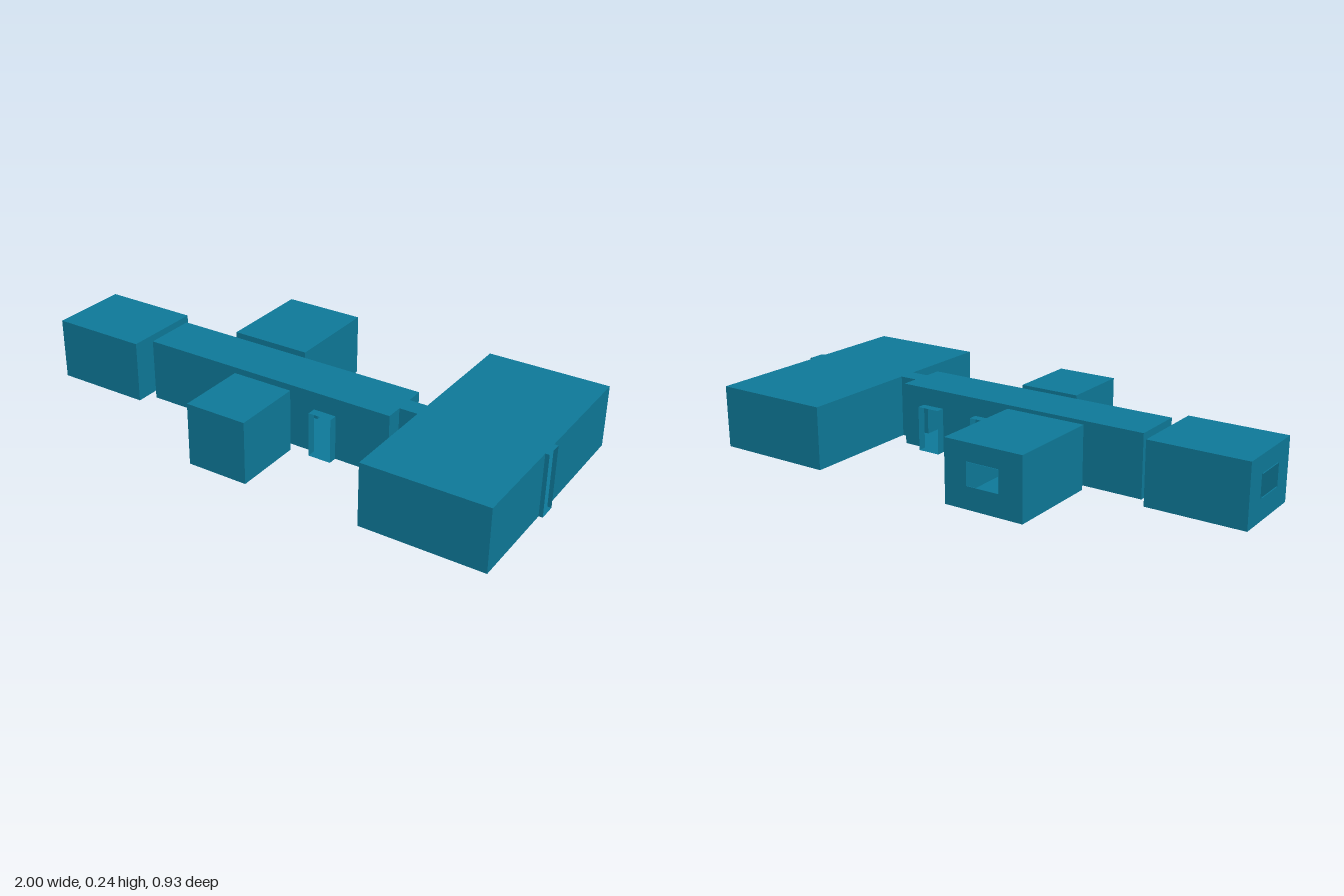
import * as THREE from 'three';
import { mergeGeometries } from 'three/addons/utils/BufferGeometryUtils.js';

const HEIGHT = 0.24, DOOR = 0.172, SILL = 0.086;
const material = new THREE.MeshStandardMaterial({ color: 0x0e7a9a, side: THREE.DoubleSide, flatShading: true });

// Flat panels: a and b are the two spans, at is the position on the fixed axis
function panel(axis, at, a0, a1, b0, b1) {
  const g = new THREE.PlaneGeometry(a1 - a0, b1 - b0);
  const a = (a0 + a1) / 2, b = (b0 + b1) / 2;
  if (axis === 'x') return g.rotateY(Math.PI / 2).translate(at, b, a); // spans z, y
  if (axis === 'z') return g.translate(a, b, at); // spans x, y
  return g.rotateX(-Math.PI / 2).translate(a, at, b); // spans x, z
}

function add(group, name, parts) {
  const mesh = new THREE.Mesh(mergeGeometries(parts), material);
  mesh.name = name;
  group.add(mesh);
}

// Wall left open at each [start, end, bottom, top]
function wall(axis, at, from, to, openings = []) {
  const parts = [];
  let u = from;
  for (const [a, b, bottom, top] of openings) {
    parts.push(panel(axis, at, u, a, 0, HEIGHT));
    if (bottom > 0) parts.push(panel(axis, at, a, b, 0, bottom));
    if (top < HEIGHT) parts.push(panel(axis, at, a, b, top, HEIGHT));
    u = b;
  }
  parts.push(panel(axis, at, u, to, 0, HEIGHT));
  return parts;
}

// Hollow room with floor, ceiling and four walls
function room(name, x0, x1, z0, z1, { left, right, front, back }) {
  const group = new THREE.Group();
  group.name = name;
  add(group, 'floor', [panel('y', 0, x0, x1, z0, z1)]);
  add(group, 'ceiling', [panel('y', HEIGHT, x0, x1, z0, z1)]);
  add(group, 'leftWall', wall('x', x1, z0, z1, left));
  add(group, 'rightWall', wall('x', x0, z0, z1, right));
  add(group, 'frontWall', wall('z', z1, x0, x1, front));
  add(group, 'backWall', wall('z', z0, x0, x1, back));
  return group;
}

// Open-ended sleeve through a wall opening, running along x or z from s to e
function sleeve(group, name, axis, s, e, [a, b, bottom, top]) {
  const side = axis === 'x' ? 'z' : 'x';
  const flat = (y) => axis === 'x' ? panel('y', y, s, e, a, b) : panel('y', y, a, b, s, e);
  add(group, name, [
    panel(side, a, s, e, bottom, top), panel(side, b, s, e, bottom, top), flat(bottom), flat(top),
  ]);
}

export function createModel() {
  const model = new THREE.Group();
  model.name = 'building';

  // Openings
  const tall = [0.016, 0.086, 0, HEIGHT];
  const endDoor = [0.004, 0.094, 0, DOOR];
  const backRoomDoor = [-0.213, -0.123, 0, DOOR];
  const frontRoomDoor = [-0.095, -0.005, 0, DOOR];
  const backDoors = [[0.028, 0.118, 0, DOOR], [0.268, 0.358, 0, DOOR]];
  const frontDoor = [0.146, 0.236, 0, DOOR];
  const endWindow = [-0.014, 0.114, SILL, DOOR];
  const backWindow = [-0.274, -0.144, SILL, DOOR];

  // Rooms
  model.add(
    room('corridor', -0.582, 0.45, -0.052, 0.152, {
      left: [tall], right: [endDoor], front: [frontRoomDoor, frontDoor], back: [backRoomDoor, ...backDoors],
    }),
    room('hall', 0.52, 0.985, -0.463, 0.463, { left: [tall], right: [tall] }),
    room('endRoom', -0.996, -0.619, -0.104, 0.206, { left: [endDoor], right: [endWindow] }),
    room('backRoom', -0.368, -0.052, -0.463, -0.089, { front: [backRoomDoor], back: [backWindow] }),
    room('frontRoom', -0.17, 0.07, 0.188, 0.463, { back: [frontRoomDoor] }),
  );

  // Passages between rooms
  sleeve(model, 'hallPassage', 'x', 0.45, 0.52, tall);
  sleeve(model, 'endPassage', 'x', -0.619, -0.582, endDoor);
  sleeve(model, 'backPassage', 'z', -0.089, -0.052, backRoomDoor);
  sleeve(model, 'frontPassage', 'z', 0.152, 0.188, frontRoomDoor);

  // Outer doorways and window frames
  sleeve(model, 'hallDoorway', 'x', 0.985, 1, tall);
  sleeve(model, 'frontDoorway', 'z', 0.152, 0.186, frontDoor);
  for (const door of backDoors) sleeve(model, 'backDoorway', 'z', -0.086, -0.052, door);
  sleeve(model, 'endWindowFrame', 'x', -1, -0.996, endWindow);
  sleeve(model, 'backWindowFrame', 'z', -0.466, -0.463, backWindow);
  return model;
}
